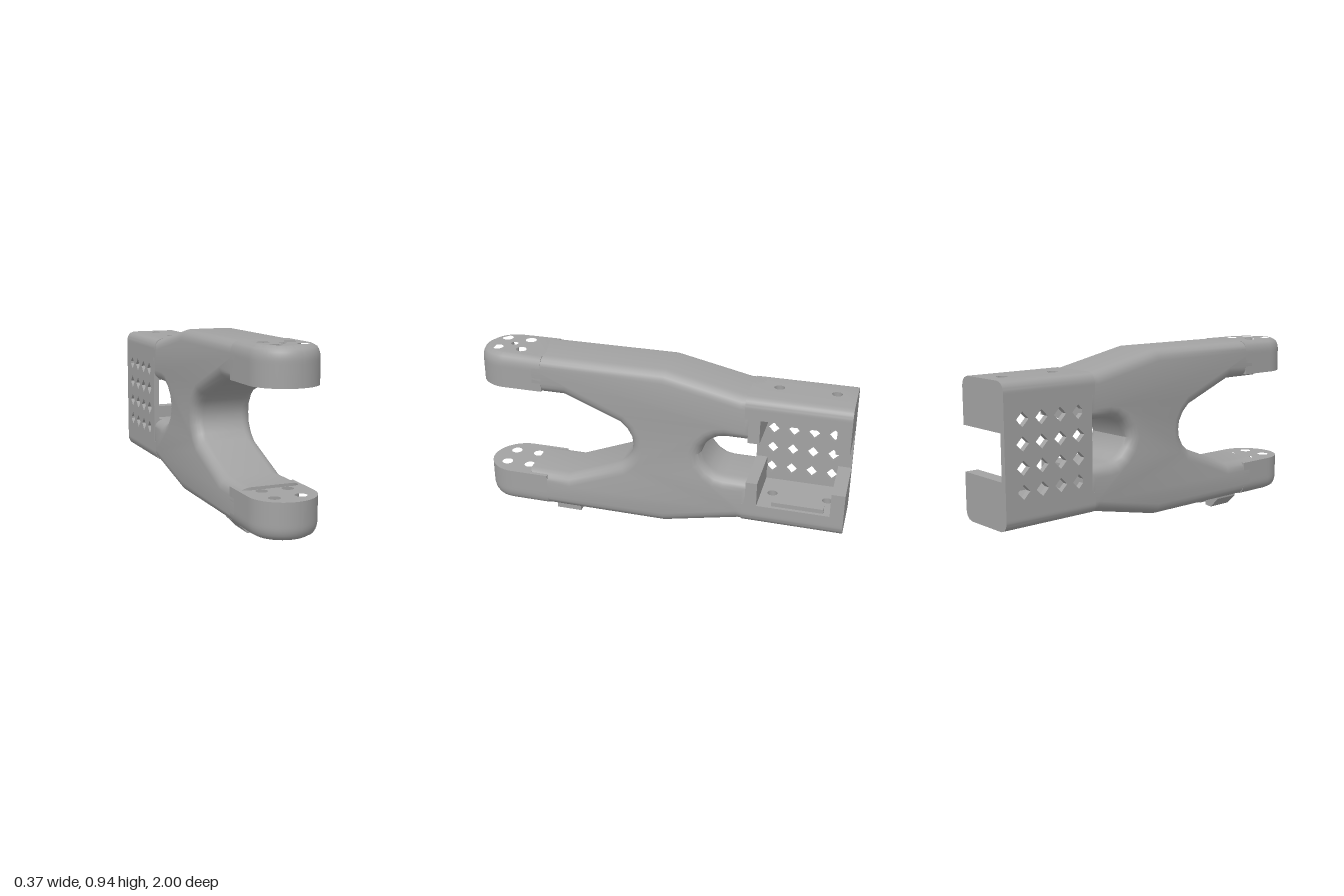
import * as THREE from 'three';
import { toCreasedNormals } from 'three/addons/utils/BufferGeometryUtils.js';

const MID = 0.505;   // height of the plane of symmetry
const HALF = 0.17;   // half width
const TIP = 0.83;    // centre of the round jaw tips

const circle = (x, z, r, n = 12) => new THREE.Path().absarc(x, -z, r, 0, Math.PI * 2, true).getPoints(n);
const withHoles = (shape, holes) => {
  for (const points of holes) shape.holes.push(new THREE.Path(points));
  return shape;
};
const rect = (z0, z1) => new THREE.Shape([
  new THREE.Vector2(-HALF, -z1), new THREE.Vector2(HALF, -z1),
  new THREE.Vector2(HALF, -z0), new THREE.Vector2(-HALF, -z0),
]);

// Upright slab from height v0 to v1 above the middle, outer top edge rounded
function slab(shape, v0, v1, inset = 0, drop = 0.06) {
  const geo = new THREE.ExtrudeGeometry(shape, { depth: v1 - v0, steps: inset ? 14 : 1, bevelEnabled: false, curveSegments: 24 });
  geo.rotateX(-Math.PI / 2).translate(0, v0, 0);
  const p = geo.attributes.position;
  for (let i = 0; i < p.count && inset; i++) {
    const x = p.getX(i), z = p.getZ(i), cz = Math.min(z, TIP);
    const d = Math.hypot(x, z - cz);
    if (d < HALF - 0.004) continue;
    const t = Math.min(1, Math.max(0, (p.getY(i) - v1 + drop) / drop));
    const k = (d - inset * (1 - Math.sqrt(1 - t * t))) / d;
    p.setX(i, x * k);
    p.setZ(i, cz + (z - cz) * k);
  }
  return geo;
}

export function createModel() {
  const model = new THREE.Group();
  model.name = 'forkedBracket';
  const grey = new THREE.MeshStandardMaterial({ color: 0xa2a2a2 });
  grey.name = 'grey plastic';

  // The whole part leans slightly sideways along its length
  const add = (name, geo) => {
    const p = geo.attributes.position;
    for (let i = 0; i < p.count; i++) p.setX(i, p.getX(i) - 0.0145 * p.getZ(i));
    const mesh = new THREE.Mesh(toCreasedNormals(geo, 0.6), grey);
    mesh.name = name;
    model.add(mesh);
  };
  const addPair = (name, geo) => {
    const lower = geo.clone().rotateZ(Math.PI);
    add('upper' + name, geo.translate(0, MID, 0));
    add('lower' + name, lower.translate(0, MID, 0));
  };

  // Forked body: upper half of the side outline as [z, height], mirrored below
  const half = [
    [0.13, 0], [0.135, 0.04], [0.16, 0.085], [0.2, 0.122], [0.5, 0.24], [0.73, 0.24], [0.73, 0.44],
    [-0.05, 0.44], [-0.45, 0.355], [-0.53, 0.355], [-0.53, 0.115], [-0.37, 0.115],
    [-0.33, 0.108], [-0.29, 0.085], [-0.255, 0.045], [-0.24, 0],
  ];
  const mirrored = half.slice(1, -1).reverse().map(([z, v]) => [z, -v]);
  const outline = new THREE.Shape([...half, ...mirrored].map(([z, v]) => new THREE.Vector2(z, v)));
  const body = new THREE.ExtrudeGeometry(outline, {
    depth: 2 * HALF - 0.12, bevelThickness: 0.06, bevelSize: 0.06, bevelOffset: -0.06, bevelSegments: 5,
  });
  body.translate(0, 0, -HALF + 0.06).rotateY(-Math.PI / 2);
  add('forkedBody', body.translate(0, MID, 0));

  // Round jaw tips with four through holes; the upper one has a centre hole too
  const tipShape = (centre) => {
    const s = new THREE.Shape();
    s.moveTo(HALF, -0.62);
    s.lineTo(HALF, -TIP);
    s.absarc(0, -TIP, HALF, 0, -Math.PI, true);
    s.lineTo(-HALF, -0.62);
    const holes = [];
    for (const x of [-0.068, 0.068]) for (const z of [-0.068, 0.068]) holes.push(circle(x, TIP + z, 0.03));
    if (centre) holes.push(circle(0, TIP, 0.02));
    return withHoles(s, holes);
  };
  add('upperJawTip', slab(tipShape(true), 0.255, 0.44, 0.038, 0.065).translate(0, MID, 0));
  add('lowerJawTip', slab(tipShape(false), 0.255, 0.44, 0.038, 0.065).rotateZ(Math.PI).translate(0, MID, 0));

  // Rear housing, open on its left side
  const deck = withHoles(rect(-1, -0.47), [circle(-0.015, -0.9, 0.027, 6), circle(-0.015, -0.61, 0.027, 6)]);
  addPair('HousingDeck', slab(deck, 0.245, 0.355, 0.045, 0.055));
  addPair('HousingBackWall', slab(rect(-1, -0.93), 0.115, 0.25));
  addPair('HousingFrontWall', slab(rect(-0.55, -0.49), 0.115, 0.25));

  // Clip rails inside the open side
  for (const s of [-1, 1]) {
    add(s > 0 ? 'upperClipRail' : 'lowerClipRail',
      new THREE.BoxGeometry(0.04, 0.025, 0.27).translate(0.13, MID + s * 0.235, -0.76));
  }

  // Side panel with a grid of diamond vents
  const panel = new THREE.Shape([[-1, -0.3], [-0.49, -0.3], [-0.49, 0.3], [-1, 0.3]].map(([z, v]) => new THREE.Vector2(z, v)));
  const vents = [];
  for (let i = 0; i < 4; i++) {
    for (let j = 0; j < 4; j++) {
      const z = -0.575 - 0.108 * i, v = 0.1725 - 0.115 * j, r = 0.036;
      vents.push([[z + r, v], [z, v - r], [z - r, v], [z, v + r]].map(([a, b]) => new THREE.Vector2(a, b)));
    }
  }
  const panelGeo = new THREE.ExtrudeGeometry(withHoles(panel, vents), { depth: 0.03, bevelEnabled: false });
  add('ventedSidePanel', panelGeo.rotateY(-Math.PI / 2).translate(-0.14, MID, 0));

  // Pair of cable hooks under the lower jaw
  const hooks = {
    rightHook: [[-0.12, 0.075], [-0.12, 0.055], [-0.065, 0], [-0.025, 0.006], [-0.025, 0.026], [-0.058, 0.06], [-0.058, 0.075]],
    leftHook: [[0.042, 0.075], [0.042, 0.058], [0.01, 0.022], [0.022, 0.006], [0.08, 0.006], [0.08, 0.075]],
  };
  for (const [name, pts] of Object.entries(hooks)) {
    const shape = new THREE.Shape(pts.map(([x, y]) => new THREE.Vector2(x, y)));
    add(name, new THREE.ExtrudeGeometry(shape, { depth: 0.14, bevelEnabled: false }).translate(0, 0, 0.46));
  }
  return model;
}
